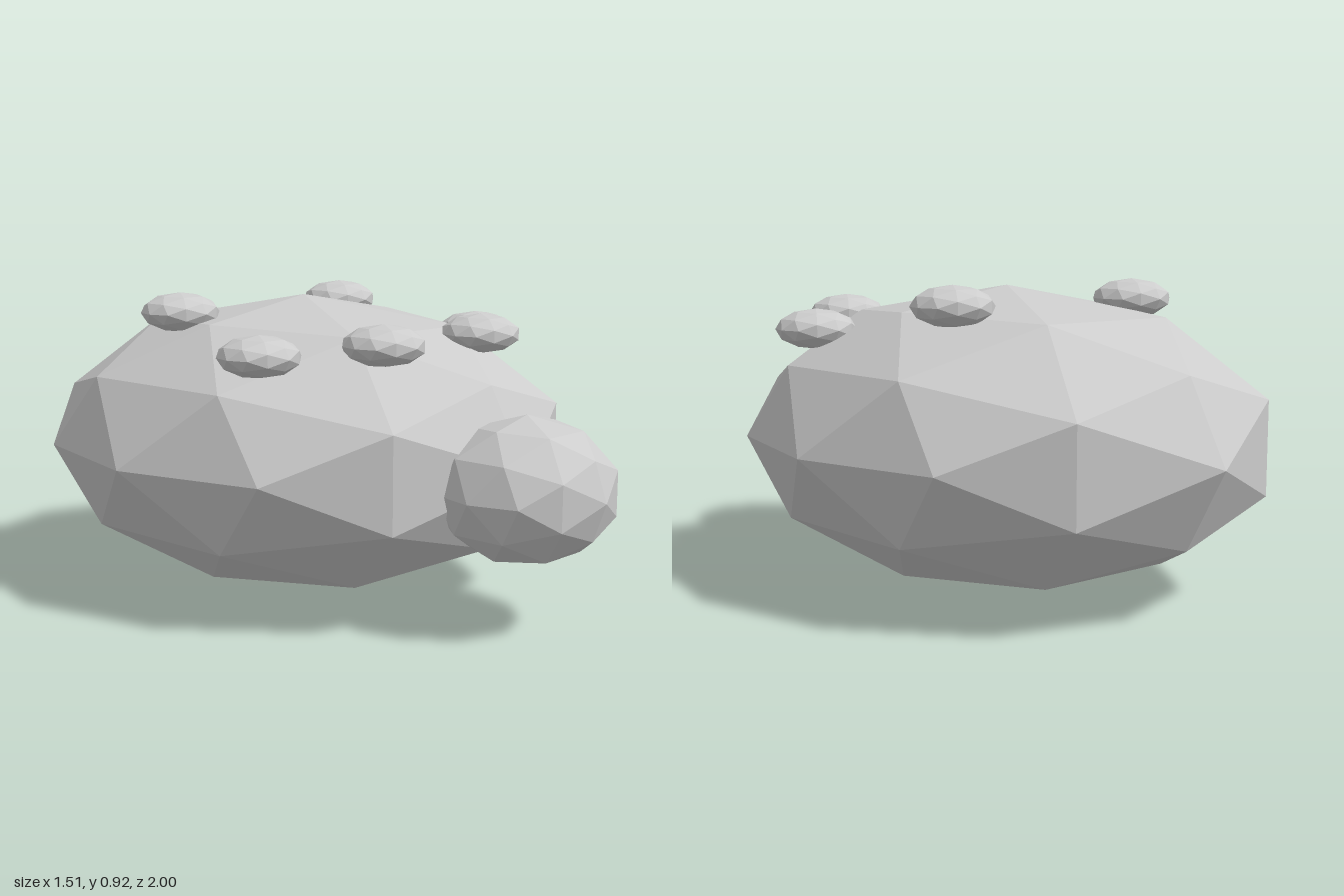
import * as THREE from 'three';

export function createModel() {
  const model = new THREE.Group();
  model.name = 'beetle';
  const grey = new THREE.MeshStandardMaterial({ color: 0xcccccc, flatShading: true });
  grey.name = 'light grey';

  // Every part is a stretched low-poly ball
  const ball = new THREE.IcosahedronGeometry(1, 1);
  function addBall(name, position, radii) {
    const mesh = new THREE.Mesh(ball, grey);
    mesh.name = name;
    mesh.position.set(...position);
    mesh.scale.set(...radii);
    model.add(mesh);
  }

  addBall('body', [0, 0.453, -0.13], [0.755, 0.453, 0.87]);
  addBall('head', [0, 0.41, 0.735], [0.265, 0.212, 0.265]);

  // Three mirrored pairs of spots on the back
  const spots = [
    ['frontSpot', 0.22, 0.805, 0.4],
    ['middleSpot', 0.487, 0.779, 0.175],
    ['rearSpot', 0.355, 0.862, -0.31],
  ];
  for (const [name, x, y, z] of spots) {
    addBall(name + 'Left', [x, y, z], [0.121, 0.06, 0.121]);
    addBall(name + 'Right', [-x, y, z], [0.121, 0.06, 0.121]);
  }
  return model;
}
